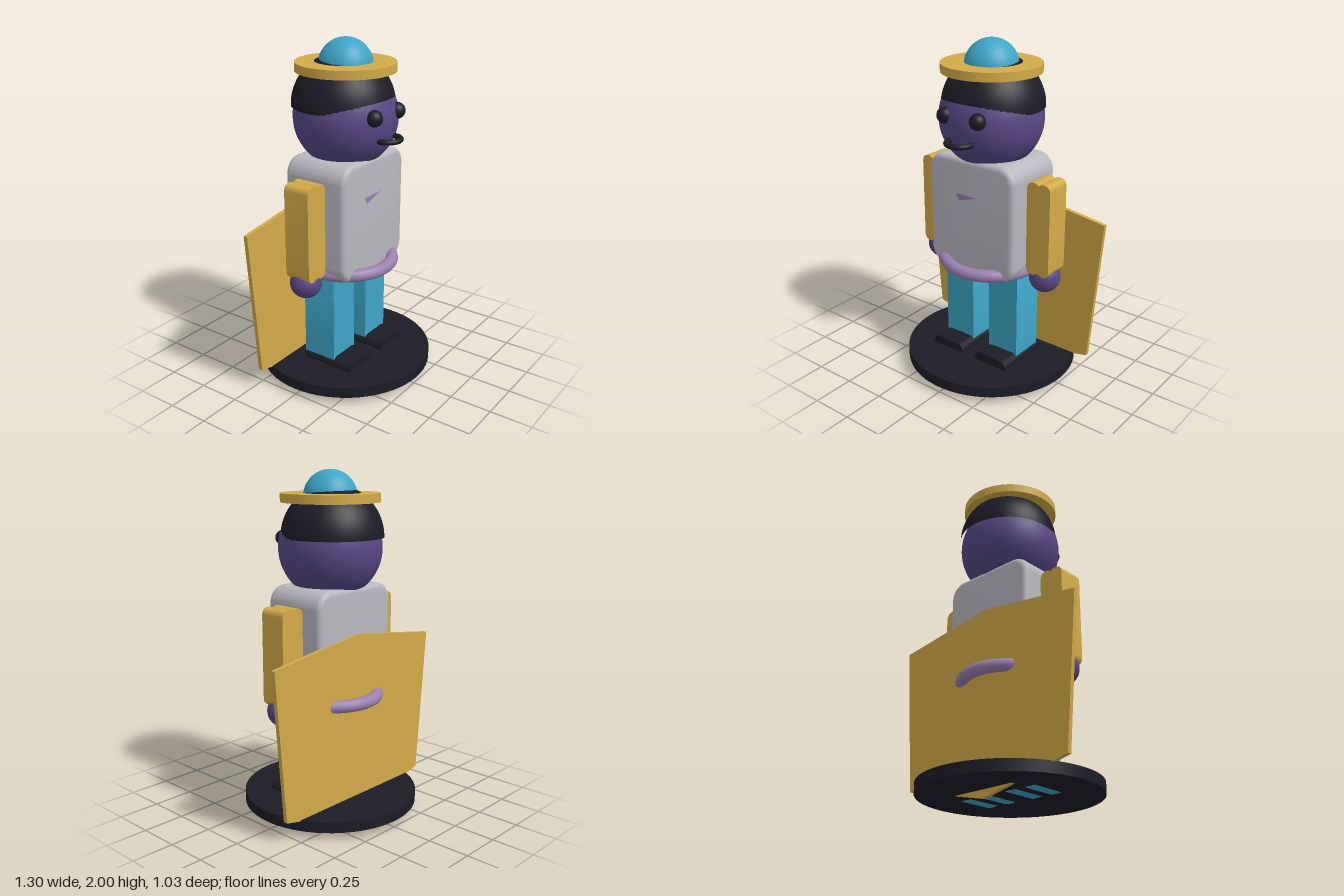
import * as THREE from 'three';
import { toCreasedNormals } from 'three/addons/utils/BufferGeometryUtils.js';

const paint = (name, color) => {
  const m = new THREE.MeshStandardMaterial({ color });
  m.name = name;
  return m;
};

// Extrude a shape symmetrically about z = 0
function slab(shape, depth, bevel = 0) {
  const g = new THREE.ExtrudeGeometry(shape, {
    depth: depth - 2 * bevel, bevelEnabled: bevel > 0, bevelThickness: bevel,
    bevelSize: bevel, bevelOffset: -bevel, bevelSegments: 4, curveSegments: 10,
  });
  g.translate(0, 0, bevel - depth / 2);
  return toCreasedNormals(g, 0.6);
}

// Limb outline: rounded ends, each with a shallow groove in the middle
function limbShape(w, y0, y1, r, dip) {
  const h = w / 2, q = w / 12, s = new THREE.Shape();
  s.moveTo(-h, y0 + r);
  s.quadraticCurveTo(-h, y0, -h + r, y0);
  s.quadraticCurveTo(-q, y0, 0, y0 + dip);
  s.quadraticCurveTo(q, y0, h - r, y0);
  s.quadraticCurveTo(h, y0, h, y0 + r);
  s.lineTo(h, y1 - r);
  s.quadraticCurveTo(h, y1, h - r, y1);
  s.quadraticCurveTo(q, y1, 0, y1 - dip);
  s.quadraticCurveTo(-q, y1, -h + r, y1);
  s.quadraticCurveTo(-h, y1, -h, y1 - r);
  return s;
}

// Rounded rectangle centred on x = 0
function roundRect(w, y0, y1, r) {
  const h = w / 2, s = new THREE.Shape();
  s.absarc(h - r, y0 + r, r, -Math.PI / 2, 0);
  s.absarc(h - r, y1 - r, r, 0, Math.PI / 2);
  s.absarc(-h + r, y1 - r, r, Math.PI / 2, Math.PI);
  s.absarc(-h + r, y0 + r, r, Math.PI, Math.PI * 1.5);
  return s;
}

const polygon = (points) => new THREE.Shape(points.map(([x, y]) => new THREE.Vector2(x, y)));

export function createModel() {
  const model = new THREE.Group();
  model.name = 'figurine';
  const gold = paint('gold', 0xd2aa48);
  const grey = paint('light grey', 0xb8b7bd);
  const teal = paint('teal', 0x3ea5c6);
  const skin = paint('purple skin', 0x564884);
  const black = paint('black', 0x1c1c26);
  const lilac = paint('lilac', 0x9c80b0);

  const add = (name, geometry, material, x = 0, y = 0, z = 0) => {
    const mesh = new THREE.Mesh(geometry, material);
    mesh.name = name;
    mesh.position.set(x, y, z);
    model.add(mesh);
    return mesh;
  };

  // Stand
  add('base', new THREE.CylinderGeometry(0.515, 0.515, 0.064, 64), black, 0, 0.078, 0);

  // Body, chest mark and belt
  add('torso', slab(roundRect(0.6, 0.66, 1.355, 0.1), 0.405, 0.03), grey);
  add('chestMark', slab(polygon([[-0.1, 1.14], [-0.08, 1.1], [0.06, 1.14]]), 0.004), lilac, 0, 0, 0.2025);
  add('belt', new THREE.TorusGeometry(0.276, 0.037, 16, 64), lilac, 0, 0.698, 0)
    .rotation.x = Math.PI / 2;

  // Limbs, mirrored
  const armGeo = slab(limbShape(0.152, 0.71, 1.266, 0.045, 0.014), 0.16);
  const legGeo = slab(limbShape(0.205, 0.042, 0.68, 0.01, 0.014), 0.21);
  const handGeo = new THREE.SphereGeometry(0.091, 32, 20);
  const shoeGeo = slab(roundRect(0.23, 0.064, 0.162, 0.045), 0.33);
  const eyeGeo = new THREE.SphereGeometry(0.047, 24, 16);
  for (const [side, s] of [['left', 1], ['right', -1]]) {
    add(side + 'Arm', armGeo, gold, s * 0.383, 0, 0);
    add(side + 'Hand', handGeo, skin, s * 0.385, 0.679, 0);
    add(side + 'Leg', legGeo, teal, s * 0.163, 0, 0);
    add(side + 'Shoe', shoeGeo, black, s * 0.162, 0, 0.062);
    add(side + 'Eye', eyeGeo, black, s * 0.113, 1.607, 0.267);
  }

  // Head, hair and mouth
  add('head', new THREE.SphereGeometry(0.298, 48, 32), skin, 0, 1.563, 0);
  add('hair', new THREE.SphereGeometry(0.294, 48, 20, 0, Math.PI * 2, 0, Math.PI / 2),
    black, 0, 1.624, -0.016);
  add('mouth', new THREE.TorusGeometry(0.075, 0.016, 12, 32, Math.PI), black, 0, 1.472, 0.278)
    .rotation.x = Math.PI / 2;
  for (const s of [-1, 1]) {
    add('mouthCorner', new THREE.SphereGeometry(0.016, 12, 8), black, s * 0.075, 1.472, 0.278);
  }

  // Hat
  add('hatBrim', new THREE.CylinderGeometry(0.284, 0.284, 0.05, 64), gold, 0, 1.844, 0);
  add('hatDome', new THREE.SphereGeometry(0.155, 40, 24), teal, 0, 1.845, 0);

  // Six-cornered shield on the back
  const shield = polygon([
    [0, 0], [0.572, 0.127], [0.648, 0.997], [0, 1.088], [-0.648, 0.997], [-0.572, 0.127],
  ]);
  add('shield', slab(shield, 0.025), gold, 0, 0, -0.202);

  return model;
}
